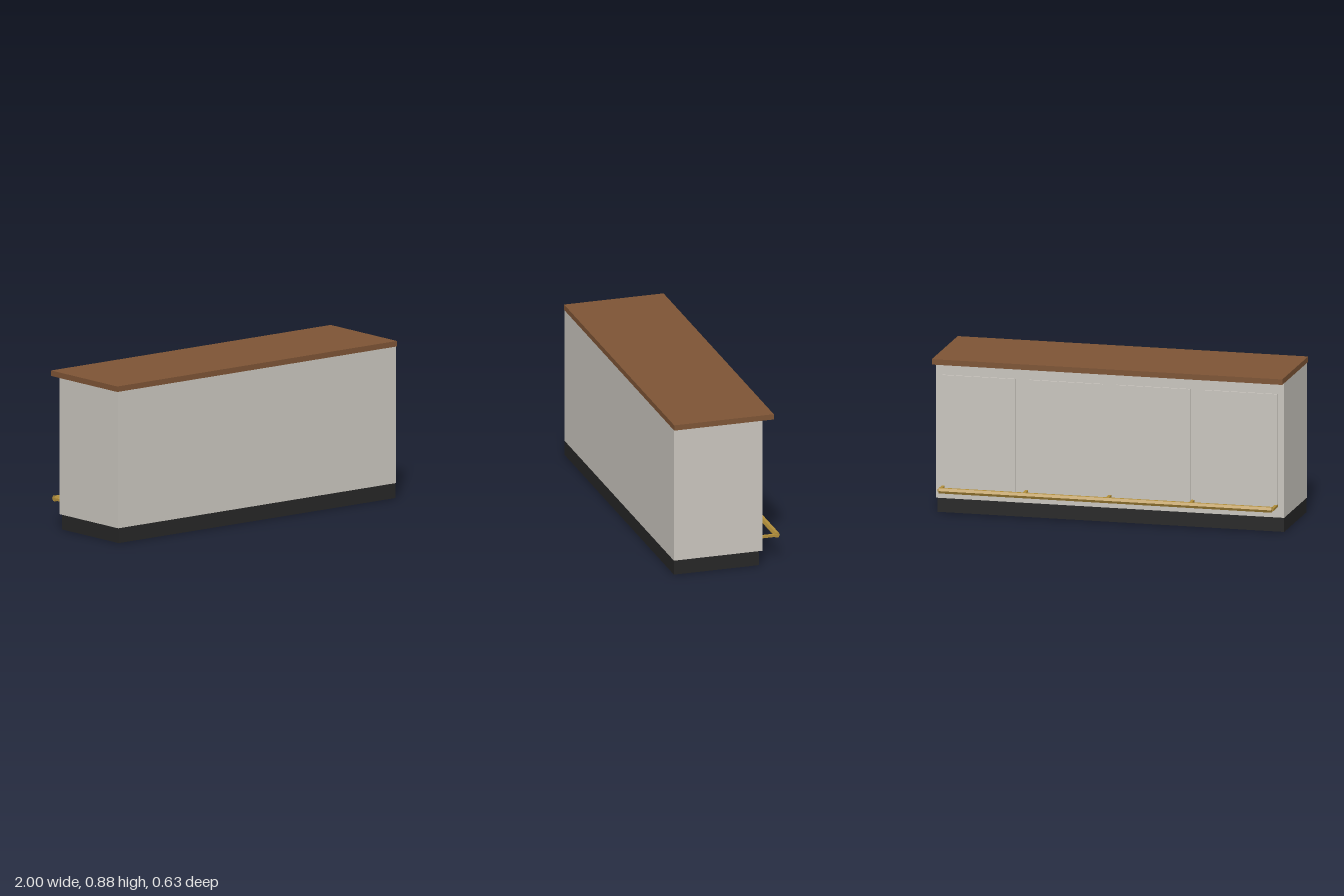
import * as THREE from 'three';

const paint = (color, extra = {}) => new THREE.MeshStandardMaterial({ color, ...extra });

export function createModel() {
  const counter = new THREE.Group();
  counter.name = 'barCounter';

  const wood = paint(0x7d5435);
  const panelPaint = paint(0xc9c5be);
  const plinthPaint = paint(0x262626, { side: THREE.DoubleSide });
  const brass = paint(0xb08d3a, { flatShading: true });

  const add = (name, geometry, material) => {
    const mesh = new THREE.Mesh(geometry, material);
    mesh.name = name;
    counter.add(mesh);
    return mesh;
  };

  // Box given by its min and max on each axis
  const block = (name, material, [x0, x1], [y0, y1], [z0, z1]) => {
    const mesh = add(name, new THREE.BoxGeometry(x1 - x0, y1 - y0, z1 - z0), material);
    mesh.position.set((x0 + x1) / 2, (y0 + y1) / 2, (z0 + z1) / 2);
    return mesh;
  };

  // Plinth: set back under the body, hollow and open at the bottom
  const plinth = block('plinth', plinthPaint, [-0.99, 0.99], [0, 0.084], [-0.18, 0.314]);
  const index = Array.from(plinth.geometry.index.array);
  index.splice(18, 6); // drop the bottom face
  plinth.geometry.setIndex(index);
  plinth.geometry.clearGroups();

  // Body and worktop, the worktop overhanging the back
  block('body', panelPaint, [-0.994, 0.994], [0.084, 0.854], [-0.198, 0.315]);
  block('worktop', wood, [-1, 1], [0.854, 0.885], [-0.263, 0.315]);

  // Four raised panels on the back
  for (let i = 0; i < 4; i++) {
    const x = (i - 1.5) * 0.497;
    block('backPanel', panelPaint, [x - 0.21, x + 0.21], [0.14, 0.785], [-0.207, -0.195]);
  }

  // Hexagonal foot rail
  const railZ = -0.298, railY = 0.15;
  const rail = add('footRail', new THREE.CylinderGeometry(0.017, 0.017, 1.9, 6), brass);
  rail.rotation.z = Math.PI / 2;
  rail.position.set(0, railY, railZ);

  // Brackets holding the rail
  for (let i = -2; i <= 2; i++) {
    const x = i * 0.475;
    block('railBracket', brass, [x - 0.008, x + 0.008], [railY - 0.007, railY + 0.007], [railZ, -0.197]);
  }

  return counter;
}
